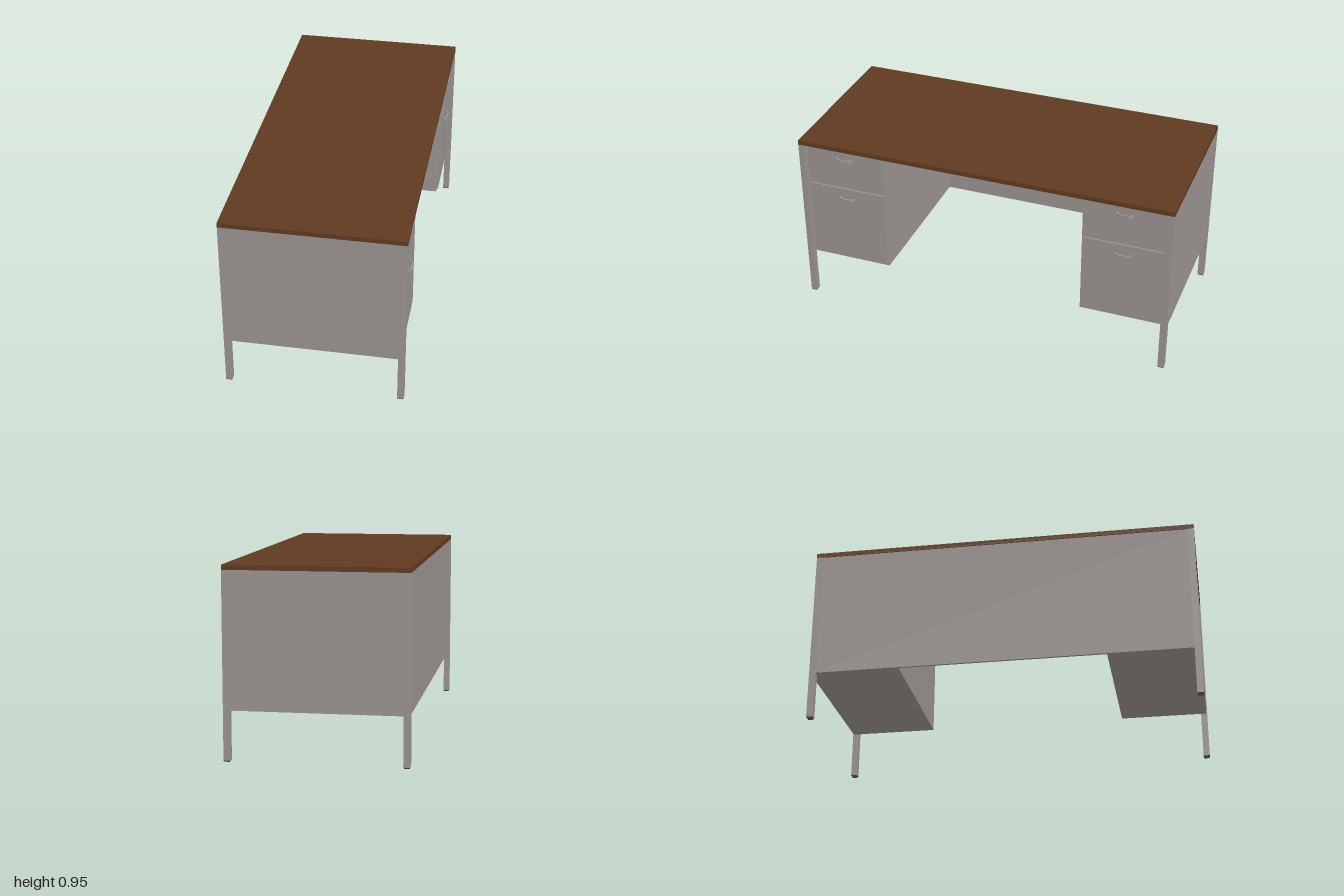
import * as THREE from 'three';

export function createModel() {
  const desk = new THREE.Group();
  desk.name = 'desk';

  const mat = (name, color) => {
    const m = new THREE.MeshStandardMaterial({ color });
    m.name = name;
    return m;
  };
  const grey = mat('painted steel', 0x9b9592);
  const brown = mat('walnut', 0x613a20);
  const dark = mat('foot grey', 0x5a5755);

  const add = (parent, name, geo, material) => {
    const mesh = new THREE.Mesh(geo, material);
    mesh.name = name;
    parent.add(mesh);
    return mesh;
  };
  // Box given by its minimum and maximum corners
  const box = (parent, name, material, [x0, y0, z0], [x1, y1, z1]) => {
    const geo = new THREE.BoxGeometry(x1 - x0, y1 - y0, z1 - z0);
    geo.translate((x0 + x1) / 2, (y0 + y1) / 2, (z0 + z1) / 2);
    return add(parent, name, geo, material);
  };

  const W = 0.45, TOP = 0.923, BASE = 0.25, LEG = 0.033;

  // Table top and full-length modesty panel
  box(desk, 'tableTop', brown, [-W, TOP, -1], [W, 0.947, 1]);
  box(desk, 'backPanel', grey, [-0.446, BASE, -0.98], [-0.434, TOP, 0.98]);

  // Square legs with tapered feet
  for (const sx of [-1, 1]) for (const sz of [-1, 1]) {
    const x = sx * (W - LEG / 2), z = sz * (1 - LEG / 2);
    const h = LEG / 2;
    box(desk, 'leg', grey, [x - h, 0.006, z - h], [x + h, TOP, z + h]);
    const foot = new THREE.CylinderGeometry(h * Math.SQRT2, h * 1.1, 0.006, 4, 1).toNonIndexed();
    foot.rotateY(Math.PI / 4);
    foot.computeVertexNormals();
    add(desk, 'foot', foot, dark).position.set(x, 0.003, z);
  }

  // Bow-shaped pull: a flat arc extruded to a thin bar
  const pullShape = new THREE.Shape();
  pullShape.moveTo(-0.045, 0);
  pullShape.bezierCurveTo(-0.038, 0.024, -0.025, 0.021, 0, 0.021);
  pullShape.bezierCurveTo(0.025, 0.021, 0.038, 0.024, 0.045, 0);
  pullShape.lineTo(0.037, 0);
  pullShape.bezierCurveTo(0.032, 0.014, 0.022, 0.014, 0, 0.014);
  pullShape.bezierCurveTo(-0.022, 0.014, -0.032, 0.014, -0.037, 0);
  pullShape.closePath();
  const pullGeo = new THREE.ExtrudeGeometry(pullShape, { depth: 0.011, bevelEnabled: false, curveSegments: 8 });
  pullGeo.translate(0, 0, -0.0055);
  pullGeo.rotateX(Math.PI / 2);
  pullGeo.rotateY(Math.PI / 2);

  // Two drawer pedestals, facing +x
  for (const s of [-1, 1]) {
    const pedestal = new THREE.Group();
    pedestal.name = s > 0 ? 'leftPedestal' : 'rightPedestal';
    desk.add(pedestal);
    const span = (a, b) => (s > 0 ? [a, b] : [-b, -a]);
    const [c0, c1] = span(0.533, 0.996);
    box(pedestal, 'carcass', grey, [-0.44, BASE, c0], [0.416, TOP, c1]);
    const [d0, d1] = span(0.539, 0.963);
    for (const [y0, y1, pullY] of [[0.262, 0.688, 0.633], [0.694, 0.919, 0.868]]) {
      box(pedestal, 'drawerFront', grey, [0.41, y0, d0], [0.426, y1, d1]);
      add(pedestal, 'drawerPull', pullGeo, grey).position.set(0.426, pullY, s * 0.75);
    }
  }
  return desk;
}
